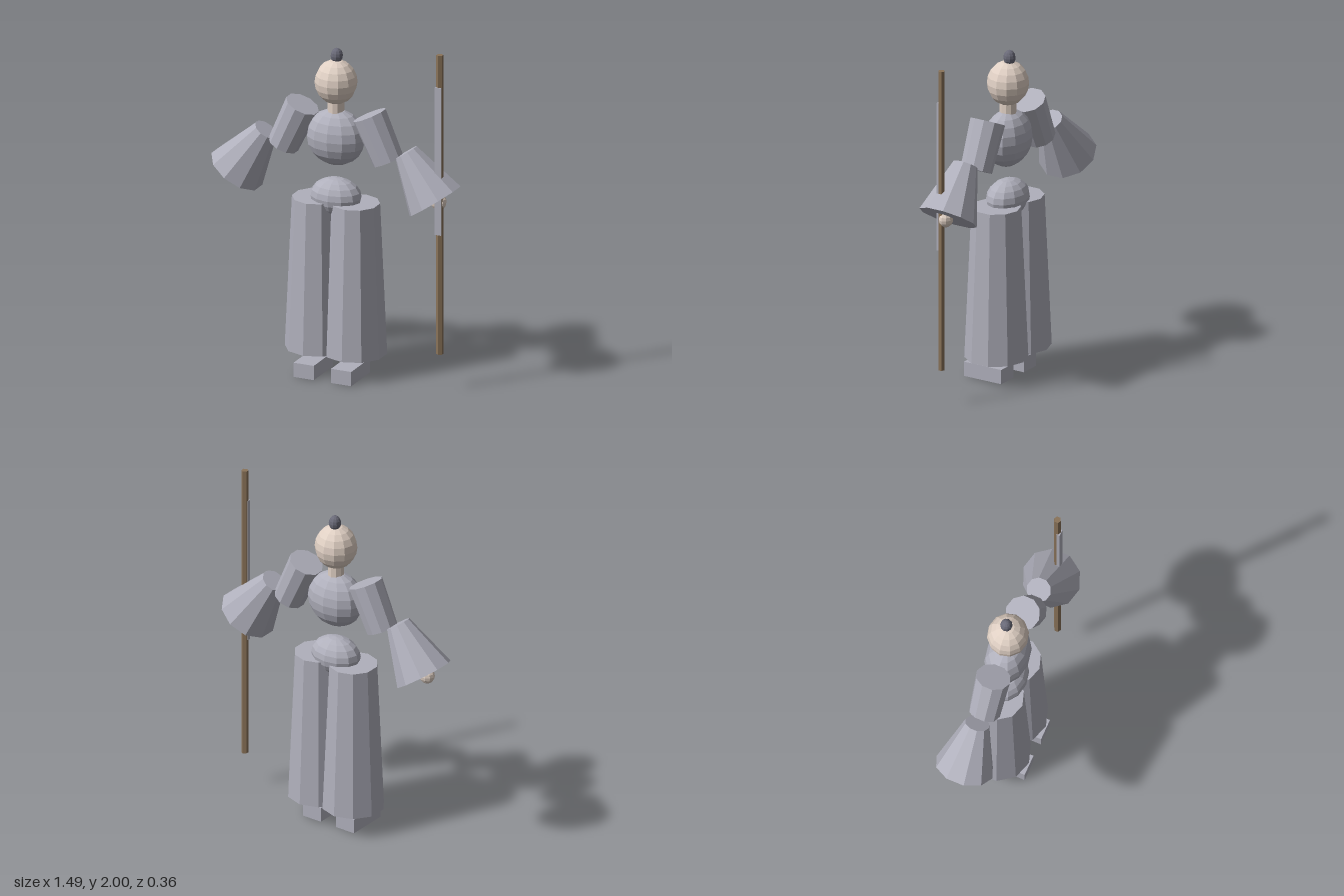
import * as THREE from 'three';

export function createModel() {
  const model = new THREE.Group();
  model.name = 'robedFigure';

  const material = (name, color) => {
    const m = new THREE.MeshStandardMaterial({ color, flatShading: true });
    m.name = name;
    return m;
  };
  const cloth = material('grey cloth', 0xb0b0bc);
  const skin = material('skin', 0xe0d0c4);
  const hair = material('dark hair', 0x6a6a78);
  const wood = material('brown wood', 0x8a7359);

  const add = (name, geometry, mat, x, y, z) => {
    const mesh = new THREE.Mesh(geometry, mat);
    mesh.name = name;
    mesh.position.set(x, y, z);
    model.add(mesh);
    return mesh;
  };
  const ellipsoid = (rx, ry, rz, w = 12, h = 10) =>
    new THREE.SphereGeometry(1, w, h).scale(rx, ry, rz);

  // Tapered tube between two points in the x-y plane
  const limb = (name, from, to, rFrom, rTo) => {
    const a = new THREE.Vector3(...from, 0);
    const b = new THREE.Vector3(...to, 0);
    const axis = a.clone().sub(b);
    const geometry = new THREE.CylinderGeometry(rFrom, rTo, axis.length(), 10);
    const mid = a.add(b).multiplyScalar(0.5);
    const mesh = add(name, geometry, cloth, mid.x, mid.y, 0);
    mesh.rotation.z = Math.atan2(-axis.x, axis.y);
  };

  // Head and torso
  add('head', ellipsoid(0.122, 0.13, 0.118), skin, 0, 1.733, 0);
  add('hairBun', ellipsoid(0.035, 0.045, 0.035, 10, 8), hair, 0, 1.885, -0.01);
  add('neck', new THREE.CylinderGeometry(0.048, 0.048, 0.1, 10), skin, 0, 1.58, 0);
  add('chest', ellipsoid(0.175, 0.165, 0.124), cloth, 0, 1.405, 0);
  add('pelvis', ellipsoid(0.152, 0.11, 0.112), cloth, 0, 1.05, 0);

  // Mirrored arms, trouser legs and feet
  for (const [side, s] of [['left', 1], ['right', -1]]) {
    limb(side + 'UpperSleeve', [s * 0.207, 1.565], [s * 0.325, 1.31], 0.1, 0.091);
    limb(side + 'FlaredSleeve', [s * 0.434, 1.378], [s * 0.614, 1.115], 0.071, 0.17);
    add(side + 'Hand', ellipsoid(0.048, 0.048, 0.04, 10, 8), skin, s * 0.635, 1.115, 0);
    add(side + 'TrouserLeg', new THREE.CylinderGeometry(0.14, 0.18, 0.895, 10), cloth, s * 0.12, 0.5825, 0);
    add(side + 'Foot', new THREE.BoxGeometry(0.125, 0.085, 0.25), cloth, s * 0.116, 0.0425, 0.054);
  }

  // Staff with a grey guard strip along its front
  add('staff', new THREE.CylinderGeometry(0.02, 0.02, 1.785, 6), wood, 0.652, 1.1075, 0.02);
  add('staffStrip', new THREE.BoxGeometry(0.038, 0.88, 0.02), cloth, 0.65, 1.37, 0.032);

  return model;
}
